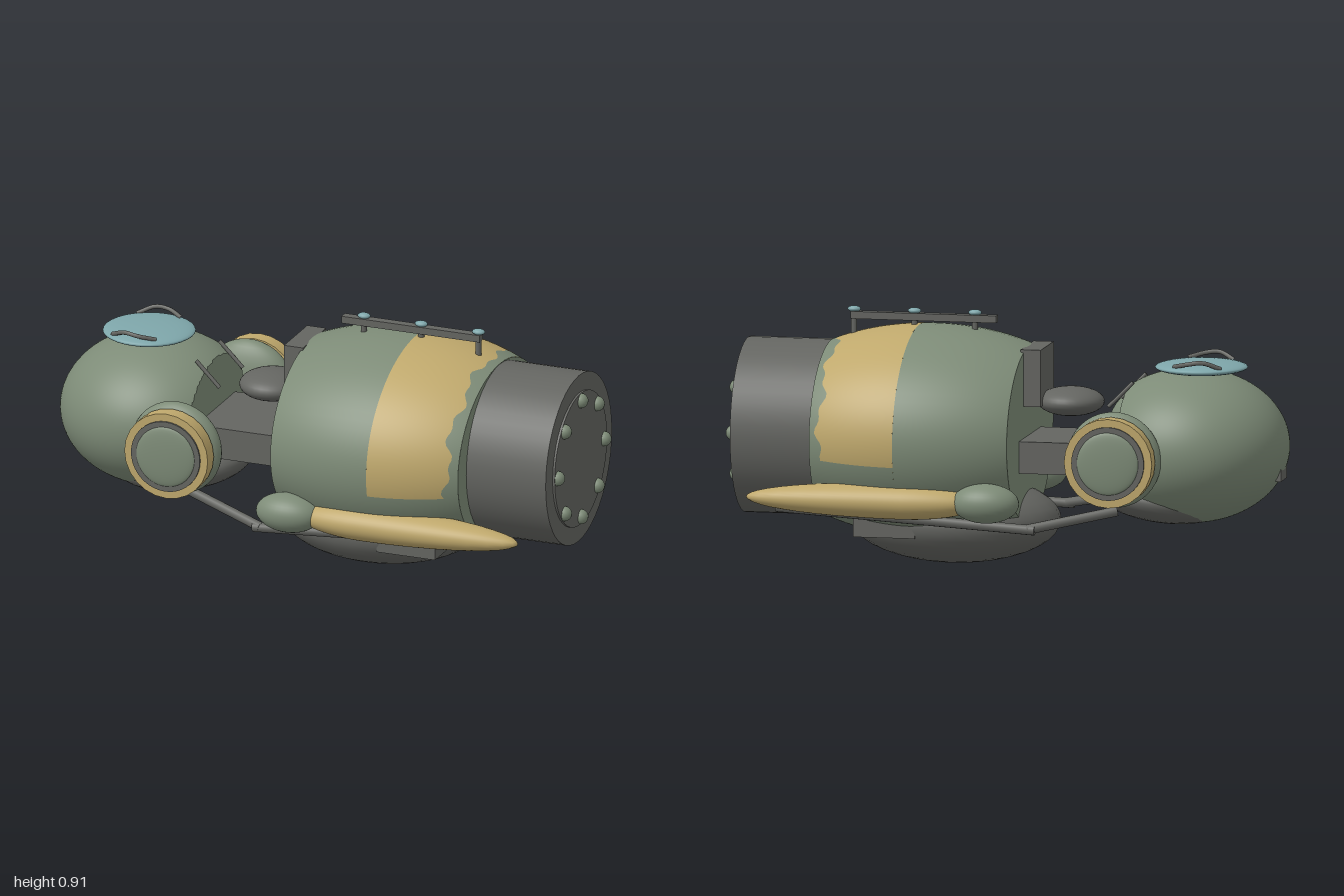
import * as THREE from 'three';

const mat = (name, color, side = THREE.FrontSide) => {
  const m = new THREE.MeshStandardMaterial({ color, side });
  m.name = name;
  return m;
};

export function createModel() {
  const model = new THREE.Group();
  const green = mat('sage green', 0x7d8b77);
  const hullGreen = green;
  const tan = mat('sand tan', 0xbfa86c);
  const grey = mat('dark grey', 0x646561);
  const blue = mat('glass blue', 0x7ea6aa);

  const add = (name, geo, material, x = 0, y = 0, z = 0) => {
    const m = new THREE.Mesh(geo, material);
    m.name = name;
    m.position.set(x, y, z);
    model.add(m);
    return m;
  };
  const ball = (rx, ry, rz, w = 32, h = 20) => new THREE.SphereGeometry(1, w, h).scale(rx, ry, rz);
  const box = (name, x0, x1, y0, y1, z0, z1, material) =>
    add(name, new THREE.BoxGeometry(x1 - x0, y1 - y0, z1 - z0), material,
      (x0 + x1) / 2, (y0 + y1) / 2, (z0 + z1) / 2);
  const rod = (name, a, b, r, material = grey) => {
    const A = new THREE.Vector3(...a), B = new THREE.Vector3(...b);
    const m = add(name, new THREE.CylinderGeometry(r, r, A.distanceTo(B), 12), material);
    m.position.copy(A).add(B).multiplyScalar(0.5);
    m.quaternion.setFromUnitVectors(new THREE.Vector3(0, 1, 0), B.sub(A).normalize());
    return m;
  };

  // Round head with a notch cut into its upper rear
  const headX = -0.65, headY = 0.445, cutX = -0.43, floorY = 0.36;
  const headGeo = new THREE.SphereGeometry(1, 96, 64).scale(0.35, 0.275, 0.35);
  const hp = headGeo.attributes.position;
  for (let i = 0; i < hp.count; i++) {
    if (hp.getX(i) + headX > cutX && hp.getY(i) + headY > floorY) hp.setX(i, cutX - headX);
  }
  const flatHead = headGeo.toNonIndexed();
  const fp = flatHead.attributes.position, fn = flatHead.attributes.normal;
  for (let i = 0; i < fp.count; i += 3) {
    const onCut = [0, 1, 2].every(k => Math.abs(fp.getX(i + k) + headX - cutX) < 1e-4);
    if (onCut) for (let k = 0; k < 3; k++) fn.setXYZ(i + k, 1, 0, 0);
  }
  add('head', flatHead, hullGreen, headX, headY);
  add('headBelly', ball(0.25, 0.095, 0.26), grey, -0.55, 0.265).rotation.z = 0.12;
  box('chinSensor', -0.985, -0.93, 0.33, 0.39, -0.05, 0.05, grey);

  // Glass hatch on top of the head with two small grips
  add('hatch', ball(0.166, 0.024, 0.166), blue, -0.685, 0.728);
  for (const s of [1, -1]) {
    const grip = new THREE.CatmullRomCurve3([[-0.78, 0.738, 0.115], [-0.72, 0.762, 0.145],
      [-0.67, 0.757, 0.15], [-0.61, 0.742, 0.12]].map(([x, y, z]) => new THREE.Vector3(x, y, z * s)));
    add('hatchGrip', new THREE.TubeGeometry(grip, 12, 0.008, 8), grey);
    rod('neckStay', [-0.46, 0.68, 0.11 * s], [-0.37, 0.59, 0.11 * s], 0.007);
  }

  // Neck, seat and back panel
  box('neck', -0.45, -0.05, 0.35, 0.465, -0.185, 0.185, grey);
  add('seat', ball(0.12, 0.052, 0.12), grey, -0.21, 0.59);
  box('seatBack', -0.123, -0.05, 0.58, 0.785, -0.11, 0.11, grey);

  // Round side lamps on the head
  for (const s of [1, -1]) {
    const x = -0.44, y = 0.435;
    const disc = (name, r, z0, z1, material, n = 40) => {
      const g = new THREE.CylinderGeometry(r, r, z1 - z0, n).rotateX(Math.PI / 2);
      return add(name, g, material, x, y, s * (z0 + z1) / 2);
    };
    add('lampHousing', ball(0.172, 0.172, 0.07), green, x, y, 0.345 * s);
    disc('lampRim', 0.16, 0.387, 0.445, tan, 24);
    disc('lampRing', 0.132, 0.44, 0.452, grey);
    add('lampFace', ball(0.113, 0.113, 0.016), green, x, y, 0.45 * s);
  }

  // Barrel hull: slices of one ellipsoid, with a painted saddle band
  const cx = 0.3, cy = 0.47;
  const slice = (x, t) => {
    const f = Math.sqrt(1 - ((x - cx) / 0.645) ** 2);
    return [x, cy + 0.38 * f * Math.sin(t), 0.475 * f * Math.cos(t)];
  };
  const patch = (name, xa, xb, t0, t1, material, nu = 16, nv = 72) => {
    const pos = [], nor = [], idx = [];
    for (let i = 0; i <= nu; i++) for (let j = 0; j <= nv; j++) {
      const t = t0 + (t1 - t0) * j / nv;
      const p = slice(xa(t) + (xb(t) - xa(t)) * i / nu, t);
      const n = new THREE.Vector3((p[0] - cx) / 0.645 ** 2, (p[1] - cy) / 0.38 ** 2, p[2] / 0.475 ** 2).normalize();
      pos.push(...p);
      nor.push(n.x, n.y, n.z);
      if (i < nu && j < nv) {
        const a = i * (nv + 1) + j, b = a + nv + 1;
        idx.push(a, b, a + 1, b, b + 1, a + 1);
      }
    }
    const g = new THREE.BufferGeometry();
    g.setAttribute('position', new THREE.Float32BufferAttribute(pos, 3));
    g.setAttribute('normal', new THREE.Float32BufferAttribute(nor, 3));
    // reverse the winding so that faces look outwards
    for (let k = 0; k < idx.length; k += 3) [idx[k + 1], idx[k + 2]] = [idx[k + 2], idx[k + 1]];
    g.setIndex(idx);
    return add(name, g, material);
  };
  const hullShell = mat('hull sage green', 0x7d8b77, THREE.DoubleSide);
  const bandTan = mat('band sand tan', 0xbfa86c, THREE.DoubleSide);
  const front = () => -0.06, mid = () => 0.34, rear = () => 0.66;
  const ragged = t => 0.622 + 0.012 * Math.sin(9 * t) + 0.008 * Math.sin(23 * t + 1);
  const low = -0.19, high = Math.PI + 0.19, full = Math.PI * 2;
  patch('hullFront', front, mid, 0, full, hullShell);
  patch('hullBand', mid, ragged, low, high, bandTan);
  patch('hullRear', ragged, rear, low, high, hullShell, 4);
  patch('hullUnderside', mid, rear, high, low + full, hullShell);
  for (const [name, x, d] of [['hullFrontFace', -0.06, -1], ['hullRearFace', 0.66, 1]]) {
    const f = Math.sqrt(1 - (0.36 / 0.645) ** 2);
    add(name, new THREE.CircleGeometry(1, 72).scale(0.475 * f, 0.38 * f, 1).rotateY(d * Math.PI / 2),
      green, x, cy);
  }

  // Rear drum with riveted end plate
  const drum = (name, r, x0, x1) =>
    add(name, new THREE.CylinderGeometry(r, r, x1 - x0, 48).rotateZ(Math.PI / 2), grey, (x0 + x1) / 2, cy);
  drum('rearDrum', 0.314, 0.6, 0.965);
  drum('endPlate', 0.248, 0.96, 0.973);
  for (let i = 0; i < 8; i++) {
    const a = i * Math.PI / 4;
    add('rivet', ball(0.027, 0.027, 0.027, 16, 12), green, 0.973, cy + 0.22 * Math.sin(a), 0.22 * Math.cos(a));
  }

  // Belly pan
  add('belly', ball(0.38, 0.157, 0.29), grey, 0.21, 0.157);

  // Side floats, struts and skid blocks
  const floatGeo = ball(1, 0.064, 0.085, 32, 24);
  const p = floatGeo.attributes.position;
  for (let i = 0; i < p.count; i++) p.setX(i, p.getX(i) * (p.getX(i) < 0 ? 0.27 : 0.58));
  floatGeo.computeVertexNormals();
  for (const s of [1, -1]) {
    add('float', floatGeo, tan, 0.31, 0.268, 0.39 * s);
    add('floatNose', ball(0.122, 0.071, 0.08), green, 0.015, 0.272, 0.405 * s);
    rod('frontStrut', [-0.43, 0.235, 0.24 * s], [-0.12, 0.172, 0.335 * s], 0.018);
    rod('longStrut', [-0.15, 0.17, 0.335 * s], [0.8, 0.22, 0.295 * s], 0.018);
    const z = [0.165 * s, 0.277 * s].sort((a, b) => a - b);
    box('skidBlock', 0.3, 0.525, 0.117, 0.185, z[0], z[1], grey);
  }

  // Roof rail with posts and capped lights
  box('roofRail', 0.06, 0.59, 0.863, 0.889, -0.017, 0.017, grey);
  for (const x of [0.14, 0.36, 0.58]) {
    rod('railPost', [x, 0.78, 0], [x, 0.89, 0], 0.011);
    add('railLight', ball(0.024, 0.011, 0.018, 16, 10), blue, x, 0.897, 0);
  }

  return model;
}
